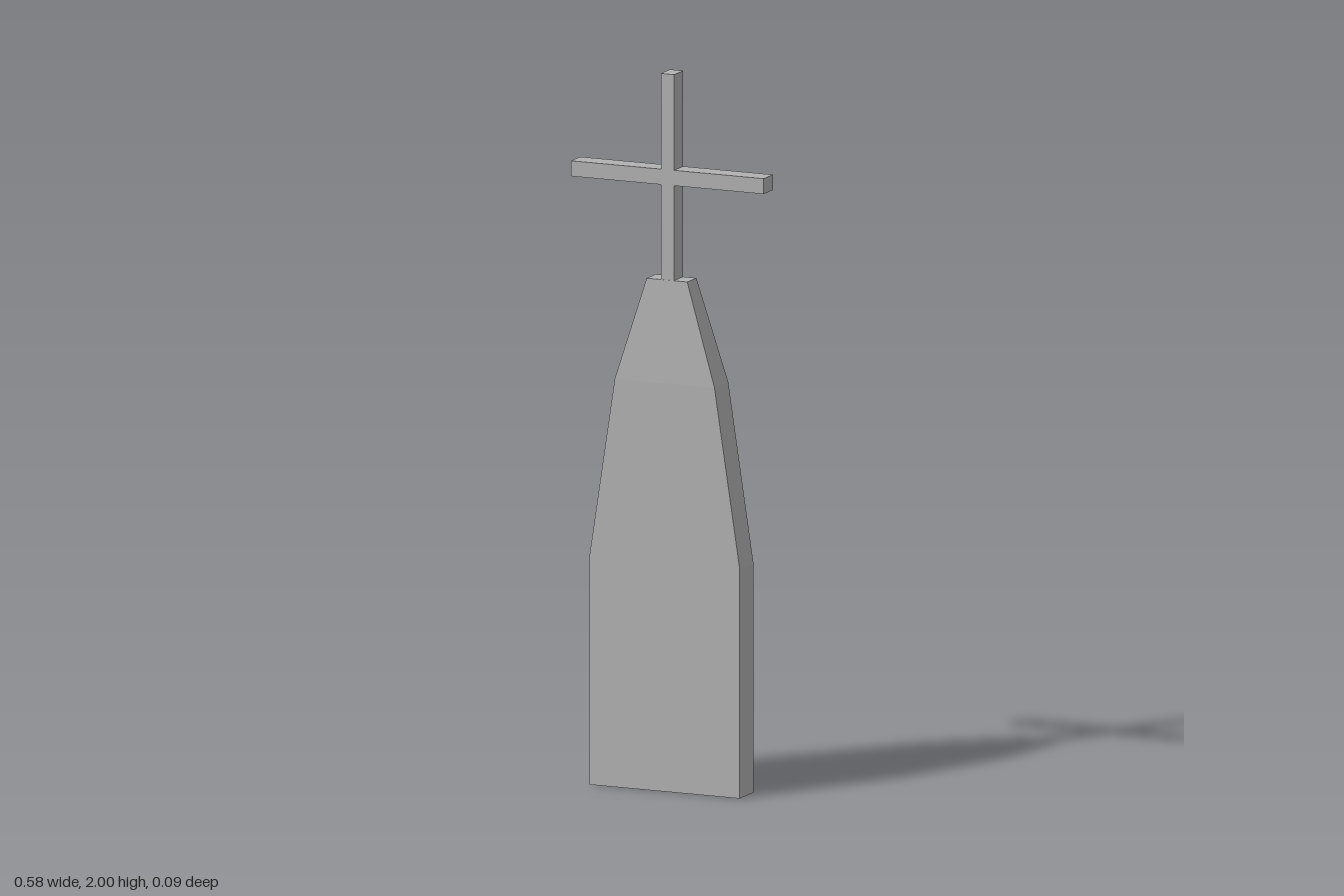
import * as THREE from 'three';

const stone = new THREE.MeshStandardMaterial({ color: 0xb2b2b2 });
stone.name = 'stone grey';

// Slab levels from the base up: height, half width, half depth
const levels = [
  [0, 0.226, 0.045],
  [0.64, 0.226, 0.045],
  [1.14, 0.15, 0.045],
  [1.425, 0.061, 0.03],
];

// A box with three rows, each row of corners moved to its level
function createSlab() {
  const box = new THREE.BoxGeometry(1, 1, 1, 1, levels.length - 1, 1);
  const p = box.attributes.position;
  for (let i = 0; i < p.count; i++) {
    const [y, w, d] = levels[Math.round((p.getY(i) + 0.5) * (levels.length - 1))];
    p.setXYZ(i, Math.sign(p.getX(i)) * w, y, Math.sign(p.getZ(i)) * d);
  }
  const geometry = box.toNonIndexed();
  geometry.computeVertexNormals();
  const slab = new THREE.Mesh(geometry, stone);
  slab.name = 'taperedSlab';
  return slab;
}

// Upright and arms as a single extruded outline
function createCross() {
  const post = 0.02, arm = 0.29, depth = 0.06;
  const base = 1.425, armLow = 1.69, armHigh = 1.733, top = 2;
  const right = [
    [post, base], [post, armLow], [arm, armLow],
    [arm, armHigh], [post, armHigh], [post, top],
  ];
  const left = right.map(([x, y]) => [-x, y]).reverse();
  const outline = [...right, ...left].map(([x, y]) => new THREE.Vector2(x, y));
  const geometry = new THREE.ExtrudeGeometry(new THREE.Shape(outline), { depth, bevelEnabled: false });
  geometry.translate(0, 0, -depth / 2);
  const cross = new THREE.Mesh(geometry, stone);
  cross.name = 'cross';
  return cross;
}

export function createModel() {
  const model = new THREE.Group();
  model.name = 'crossToppedMarker';
  const slab = createSlab();
  const cross = createCross();
  // Both parts sit very slightly off the centre line
  slab.position.set(-0.002, 0, -0.001);
  cross.position.set(-0.001, 0, -0.002);
  model.add(slab, cross);
  return model;
}
